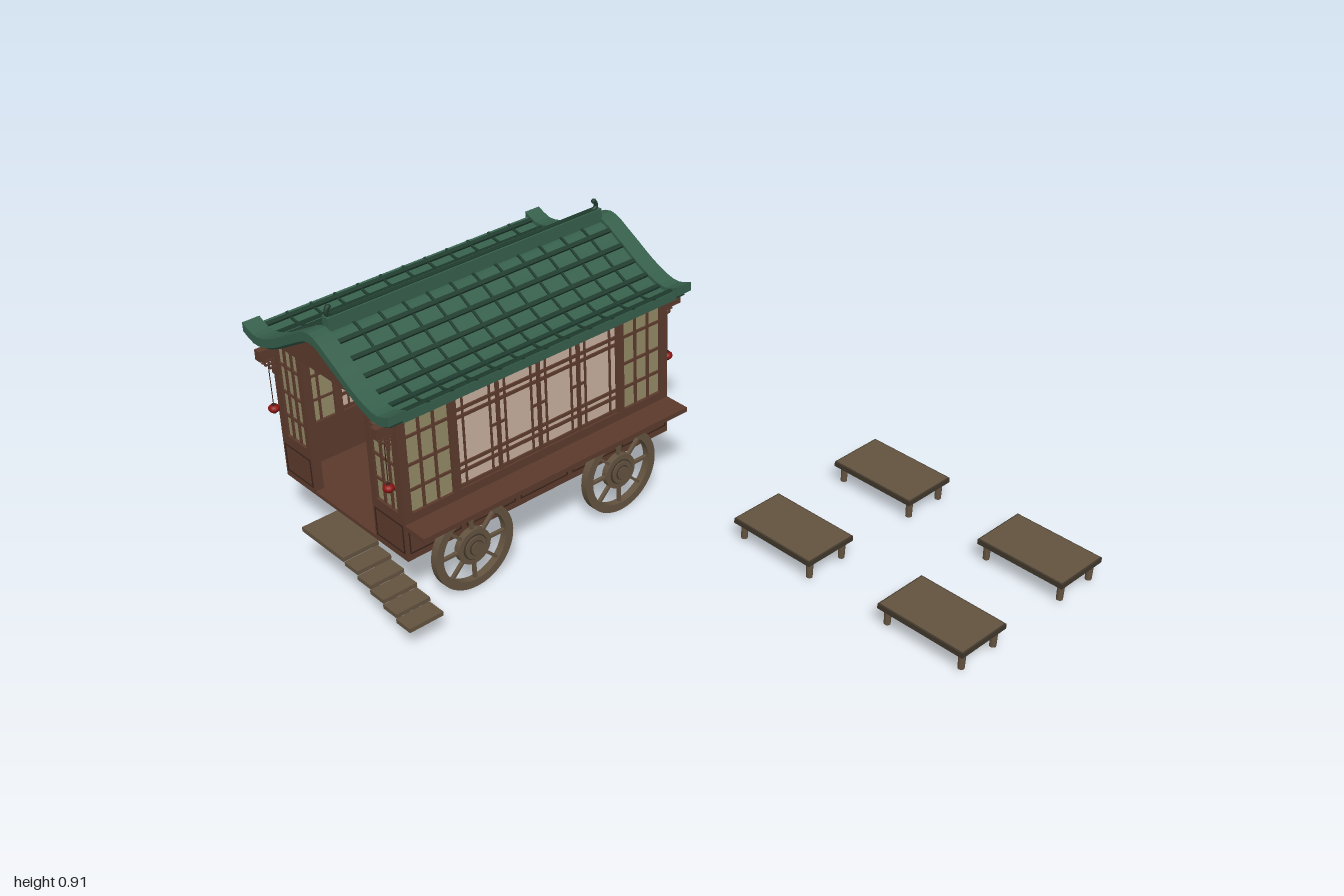
import * as THREE from 'three';

const mat = (name, color, extra) => Object.assign(new THREE.MeshStandardMaterial({ color, ...extra }), { name });

export function createModel() {
  const root = new THREE.Group();
  root.name = 'teaCaravan';
  const M = {
    wall: mat('reddish brown wood', 0x5c3a2c),
    dark: mat('dark brown wood', 0x38231a),
    wood: mat('weathered wood', 0x635340),
    darkWood: mat('dark weathered wood', 0x40372b),
    paper: mat('paper screen', 0xc8b09e),
    glass: mat('yellow window', 0x938a66),
    roof: mat('roof green', 0x365f4b),
    seam: mat('dark roof green', 0x1f3b2e),
    red: mat('lantern red', 0x8a1210),
  };
  const CX = -0.2225, CZ = -0.6265;            // body centre
  const HX = 0.5175, HZ = 0.3135;              // body half sizes

  const add = (parent, name, geo, m) => {
    const mesh = new THREE.Mesh(geo, m);
    mesh.name = name;
    parent.add(mesh);
    return mesh;
  };
  const box = (parent, name, m, x0, x1, y0, y1, z0, z1) => {
    const b = add(parent, name, new THREE.BoxGeometry(x1 - x0, y1 - y0, z1 - z0), m);
    b.position.set((x0 + x1) / 2, (y0 + y1) / 2, (z0 + z1) / 2);
    return b;
  };
  const group = (parent, name, x = 0, y = 0, z = 0) => {
    const g = new THREE.Group();
    g.name = name;
    g.position.set(x, y, z);
    parent.add(g);
    return g;
  };

  // Floor
  box(root, 'floor', M.wall, CX - HX, CX + HX, 0.187, 0.2, CZ - HZ, CZ + HZ);

  // One wall facing local +z, outer face at z = 0
  function wall(name, x, z, turn, half, paperHalf, glass0, glass1, panels, panes, door) {
    const g = group(root, name, x, 0, z);
    g.rotation.y = turn;
    const Y0 = 0.345, Y1 = 0.665, T = -0.03;
    // Lower band with outlined panels
    for (const [a, b] of door ? [[-half, -paperHalf], [paperHalf, half]] : [[-half, half]]) {
      box(g, 'lowerBand', M.wall, a, b, 0.187, Y0, T, 0);
      const n = door ? 1 : panels, w = (b - a) / n;
      for (let i = 0; i < n; i++) {
        const p0 = a + i * w + 0.01, p1 = a + (i + 1) * w - 0.01;
        for (const y of [0.21, 0.306]) box(g, 'panelLine', M.dark, p0, p1, y, y + 0.004, 0, 0.002);
        for (const u of [p0, p1 - 0.004]) box(g, 'panelLine', M.dark, u, u + 0.004, 0.21, 0.31, 0, 0.002);
      }
    }
    box(g, 'topRail', M.wall, -half, half, Y1, 0.695, T, 0);
    for (const s of [-1, 1]) {
      // Posts, side window and its lattice
      const strip = (nm, m, a, b, z0, z1) =>
        box(g, nm, m, Math.min(s * a, s * b), Math.max(s * a, s * b), Y0, Y1, z0, z1);
      strip('post', M.wall, paperHalf, glass0, T, 0);
      strip('cornerPost', M.wall, glass1, half, T, 0);
      strip('sideWindow', M.glass, glass0, glass1, -0.02, -0.01);
      for (const f of [1 / 3, 2 / 3]) {
        const u = glass0 + (glass1 - glass0) * f;
        strip('windowBar', M.wall, u - 0.004, u + 0.004, -0.024, -0.004);
      }
      for (const y of [0.42, 0.505, 0.60]) {
        const lo = s > 0 ? glass0 : -glass1;
        box(g, 'windowBar', M.wall, lo, lo + glass1 - glass0, y - 0.004, y + 0.004, -0.024, -0.004);
      }
    }
    if (door) return;
    // Paper screens with lattice
    box(g, 'paperScreen', M.paper, -paperHalf, paperHalf, Y0, Y1, -0.02, -0.01);
    for (const y of [0.352, 0.4, 0.425, 0.587, 0.612, 0.66])
      box(g, 'screenRail', M.wall, -paperHalf, paperHalf, y - 0.005, y + 0.005, -0.025, -0.004);
    const w = 2 * paperHalf / panes;
    for (let i = 0; i <= panes; i++) {
      const u = -paperHalf + i * w, e = i % panes ? 0.006 : 0.004;
      box(g, 'screenStile', M.wall, u - e, u + e, Y0, Y1, -0.026, -0.003);
      if (i % panes) box(g, 'screenCross', M.wall, u - 0.028, u + 0.028, 0.502, 0.51, -0.024, -0.005);
      for (const o of [-0.028, 0.028])
        if (Math.abs(u + o) < paperHalf)
          box(g, 'screenBar', M.wall, u + o - 0.003, u + o + 0.003, Y0, Y1, -0.024, -0.005);
    }
  }
  wall('frontWall', CX, CZ + HZ, 0, HX, 0.31, 0.335, 0.49, 5, 4, false);
  wall('backWall', CX, CZ - HZ, Math.PI, HX, 0.31, 0.335, 0.49, 5, 4, false);
  wall('leftEndWall', CX + HX, CZ, Math.PI / 2, HZ, 0.156, 0.18, 0.29, 3, 2, false);
  wall('doorEndWall', CX - HX, CZ, -Math.PI / 2, HZ, 0.156, 0.18, 0.29, 3, 2, true);

  // Serving counter along the front
  box(root, 'counter', M.wall, CX - HX, CX + HX, 0.3, 0.316, CZ + HZ, -0.222);

  // Roof cross-section, d is the distance from the ridge
  const curve = new THREE.CatmullRomCurve3([
    [-0.1, 0.795], [0, 0.838], [0.1, 0.793], [0.19, 0.742], [0.26, 0.713], [0.31, 0.706], [0.365, 0.726],
  ].map(([d, y]) => new THREE.Vector3(d, y, 0)));
  const profile = curve.getPoints(60).filter(p => p.x > 0.004);
  profile.unshift(new THREE.Vector3(0, 0.838, 0));
  const roofY = d => {
    const i = Math.max(1, profile.findIndex(p => p.x >= d));
    const a = profile[i - 1], b = profile[i];
    return a.y + (b.y - a.y) * (d - a.x) / (b.x - a.x);
  };
  function roofStrip(name, m, x0, x1, dMax, lift, thick) {
    const ds = [];
    for (let i = -14; i <= 14; i++) ds.push(i / 14 * dMax);
    const pts = ds.map(d => new THREE.Vector2(-d, roofY(Math.abs(d)) + lift));
    const low = ds.map(d => new THREE.Vector2(-d, roofY(Math.abs(d)) + lift - thick)).reverse();
    const geo = new THREE.ExtrudeGeometry(new THREE.Shape([...pts, ...low]), { depth: x1 - x0, bevelEnabled: false });
    const s = add(root, name, geo, m);
    s.rotation.y = Math.PI / 2;
    s.position.set(x0, 0, CZ);
  }
  roofStrip('roof', M.roof, -0.74, 0.295, 0.355, -0.008, 0.03);
  roofStrip('roofEnd', M.roof, -0.795, -0.735, 0.364, 0.004, 0.03);
  roofStrip('roofEnd', M.roof, 0.29, 0.348, 0.364, 0.004, 0.03);
  roofStrip('roofEndUnderside', M.seam, -0.78, -0.735, 0.35, -0.024, 0.012);
  roofStrip('roofEndUnderside', M.seam, 0.29, 0.335, 0.35, -0.024, 0.012);
  for (let i = 1; i < 12; i++) {
    const x = -0.735 + i * 1.03 / 12;
    roofStrip('tileSeam', M.seam, x - 0.004, x + 0.004, 0.352, -0.003, 0.012);
  }
  for (const s of [-1, 1]) for (let i = 1; i <= 6; i++) {
    const d = i * 0.056, slope = Math.atan2(roofY(d + 0.01) - roofY(d - 0.01), 0.02);
    const row = box(root, 'tileRow', M.seam, -0.735, 0.29, -0.006, 0.006, -0.007, 0.007);
    row.position.y = roofY(d) - 0.005;
    row.position.z = CZ + s * d;
    row.rotation.x = -s * slope;
  }
  // Ridge and curled finials
  box(root, 'ridge', M.roof, -0.735, 0.295, 0.815, 0.872, CZ - 0.014, CZ + 0.014);
  box(root, 'ridgeCap', M.seam, -0.72, 0.28, 0.868, 0.875, CZ - 0.008, CZ + 0.008);
  for (const s of [-1, 1]) {
    const path = new THREE.CatmullRomCurve3([[-0.012, 0.868], [0.004, 0.88], [0.002, 0.893], [-0.006, 0.905]]
      .map(([x, y]) => new THREE.Vector3(CX + s * (0.502 + x), y, CZ)));
    add(root, 'finial', new THREE.TubeGeometry(path, 10, 0.007, 8), M.seam);
    const tip = add(root, 'finialTip', new THREE.SphereGeometry(0.008, 10, 8), M.seam);
    tip.position.set(CX + s * 0.497, 0.9, CZ);
  }

  // Gables
  const gable = new THREE.Shape([[-HZ, 0.68], [HZ, 0.68], [0.19, 0.722], [0.1, 0.773], [0, 0.815], [-0.1, 0.773], [-0.19, 0.722]]
    .map(([u, y]) => new THREE.Vector2(u, y)));
  for (const x of [CX - HX, CX + HX - 0.03]) {
    const g = add(root, 'gable', new THREE.ExtrudeGeometry(gable, { depth: 0.03, bevelEnabled: false }), M.wall);
    g.rotation.y = Math.PI / 2;
    g.position.set(x, 0, CZ);
  }

  // Beam ends, fretwork and hanging lanterns
  for (const s of [-1, 1]) for (const z of [-0.34, -0.925]) {
    const b = group(root, 'beamEnd', CX + s * HX, 0, z);
    const part = (nm, m, a, c, y0, y1, h) => box(b, nm, m, Math.min(s * a, s * c), Math.max(s * a, s * c), y0, y1, -h, h);
    part('beam', M.wall, -0.02, s > 0 ? 0.07 : 0.057, 0.625, 0.66, 0.013);
    for (const [reach, y] of [[0.045, 0.612], [0.035, 0.6], [0.02, 0.585]])
      part('fretBar', M.wall, 0, reach, y - 0.0025, y + 0.0025, 0.003);
    for (const [u, y] of [[0.01, 0.565], [0.022, 0.585], [0.035, 0.6]])
      part('fretBar', M.wall, u - 0.0025, u + 0.0025, y, 0.627, 0.003);
    part('lanternCord', M.dark, 0.0235, 0.0255, 0.455, 0.6, 0.001);
    const lantern = add(b, 'lantern', new THREE.SphereGeometry(0.018, 16, 10), M.red);
    lantern.scale.y = 0.75;
    lantern.position.set(s * 0.0245, 0.447, 0);
    const cap = add(b, 'lanternCap', new THREE.CylinderGeometry(0.007, 0.007, 0.03, 10), M.dark);
    cap.position.copy(lantern.position);
  }

  // Spoked wheels
  const rim = new THREE.Shape().absarc(0, 0, 0.145, 0, Math.PI * 2);
  rim.holes.push(new THREE.Path().absarc(0, 0, 0.118, 0, Math.PI * 2, true));
  const rimGeo = new THREE.ExtrudeGeometry(rim, { depth: 0.026, bevelEnabled: false, curveSegments: 24 });
  rimGeo.translate(0, 0, -0.013);
  for (const x of [-0.52, 0.065]) for (const s of [-1, 1]) {
    const w = group(root, 'wheel', x, 0.148, s > 0 ? -0.294 : -0.955);
    if (s < 0) w.rotation.y = Math.PI;
    add(w, 'rim', rimGeo, M.wood);
    for (let i = 0; i < 8; i++) {
      const spoke = add(w, 'spoke', new THREE.BoxGeometry(0.009, 0.08, 0.012), M.wood);
      const a = i * Math.PI / 4;
      spoke.position.set(Math.sin(a) * 0.084, Math.cos(a) * 0.084, 0);
      spoke.rotation.z = -a;
    }
    for (const [r, depth, m] of [[0.06, 0.022, M.wood], [0.043, 0.028, M.darkWood], [0.039, 0.036, M.wood], [0.025, 0.042, M.darkWood], [0.022, 0.048, M.wood]]) {
      const hub = add(w, 'hub', new THREE.CylinderGeometry(r, r, depth, 24), m);
      hub.rotation.x = Math.PI / 2;
    }
  }

  // Landing and steps beside the doorway
  box(root, 'landing', M.wood, -0.867, CX - HX, 0.172, 0.187, -0.672, -0.46);
  for (let i = 0; i < 5; i++) {
    const z = -0.465 + i * 0.061, y = 0.167 - i * 0.018;
    box(root, 'step', M.wood, -0.86, CX - HX, y - 0.014, y, z, z + 0.065);
  }

  // Low tables
  for (const x of [0.303, 0.765]) for (const z of [0.245, 0.832]) {
    const t = group(root, 'table', x, 0, z);
    box(t, 'tableTop', M.wood, -0.094, 0.094, 0.08, 0.092, -0.153, 0.153);
    box(t, 'tableEdge', M.darkWood, -0.099, 0.099, 0.073, 0.09, -0.158, 0.158);
    for (const a of [-1, 1]) for (const b of [-1, 1]) {
      const leg = add(t, 'tableLeg', new THREE.CylinderGeometry(0.0115, 0.0105, 0.062, 12), M.wood);
      leg.position.set(a * 0.072, 0.045, b * 0.138);
    }
  }
  return root;
}
